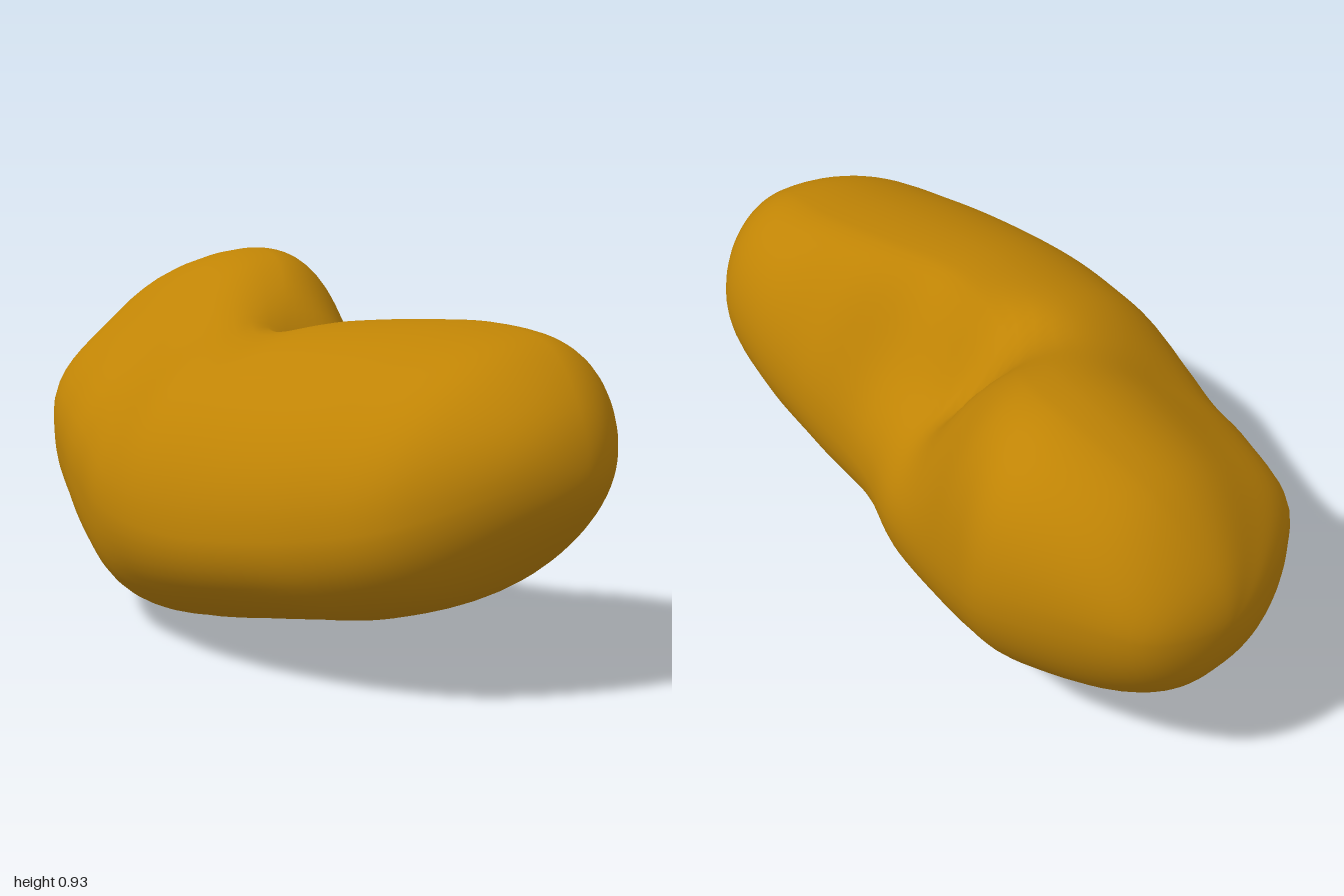
import * as THREE from 'three';
import { mergeVertices } from 'three/addons/utils/BufferGeometryUtils.js';

// Cross-sections from front tip to back tip:
// z, xMin, xMax, yMin, yMax, x of top, y of right side, x of bottom, y of left side, hollow
const SECTIONS = [
  [1, 0, 0, .55, .55, 0, .55, 0, .55, 0],
  [.95, -.2, .15, .42, .7, .02, .57, -.05, .54, 0],
  [.8, -.4, .31, .26, .82, .08, .56, -.12, .46, 0],
  [.6, -.5, .365, .175, .85, .1, .53, -.15, .41, .01],
  [.4, -.555, .355, .13, .845, .05, .45, -.12, .38, .06],
  [.2, -.575, .33, .085, .825, -.02, .35, -.08, .36, .14],
  [0, -.565, .405, .035, .79, -.03, .36, -.02, .36, .13],
  [-.2, -.51, .46, .003, .835, .13, .41, .02, .37, .02],
  [-.4, -.42, .53, .035, .92, .26, .5, .06, .4, -.03],
  [-.58, -.345, .575, .12, .93, .29, .57, .1, .44, -.02],
  [-.8, -.22, .5, .21, .85, .26, .59, .14, .5, 0],
  [-.95, .01, .39, .37, .7, .22, .57, .2, .55, 0],
  [-1, .2, .2, .55, .55, .2, .55, .2, .55, 0],
];
const STEPS = 6, AROUND = 64;

// Mirrors a section through the tip so the ends close as round caps
const beyond = (tip, next) => tip.map((v, k) => (k === 0 ? next[0] : 2 * v - next[k]));

// Smooth blend between neighbouring sections
function sectionAt(rows, i, t) {
  return rows[i].map((_, k) => {
    const [a, b, c, d] = [rows[i - 1][k], rows[i][k], rows[i + 1][k], rows[i + 2][k]];
    return b + .5 * t * (c - a + t * (2 * a - 5 * b + 4 * c - d + t * (3 * (b - c) + d - a)));
  });
}

// A ring made of four quarter ellipses, each pressed inward (or swollen when negative)
function addRing(positions, [z, x0, x1, y0, y1, xTop, yRight, xBottom, yLeft, hollow]) {
  const back = THREE.MathUtils.smoothstep(-z, 0, .45);
  const belly = Math.exp(-(((z - .25) / .3) ** 2));
  const dents = [hollow, .12 * back, -.03 - .07 * back, .03 * back - .06 * belly];
  for (let j = 0; j < AROUND; j++) {
    const angle = j / AROUND * Math.PI * 2;
    const c = Math.cos(angle), s = Math.sin(angle);
    const quarter = Math.floor(j * 4 / AROUND);
    const cx = quarter < 2 ? xTop : xBottom;
    const cy = quarter === 0 || quarter === 3 ? yRight : yLeft;
    const scale = 1 - dents[quarter] * Math.sin(2 * angle) ** 2;
    const x = cx + (c > 0 ? x1 - cx : cx - x0) * c * scale;
    const y = cy + (s > 0 ? y1 - cy : cy - y0) * s * scale;
    // Small pit at the inner bend
    const pit = s > 0 ? .12 * Math.exp(-((x - .14) ** 2 + (z + .06) ** 2) / .016) : 0;
    positions.push(x, y - pit, z);
  }
}

function beanGeometry() {
  const last = SECTIONS.length - 1;
  const rows = [
    beyond(SECTIONS[0], SECTIONS[1]),
    ...SECTIONS,
    beyond(SECTIONS[last], SECTIONS[last - 1]),
  ];
  const positions = [], index = [];
  for (let i = 0; i < last; i++) {
    for (let t = 0; t < STEPS; t++) addRing(positions, sectionAt(rows, i + 1, t / STEPS));
  }
  addRing(positions, SECTIONS[last]);

  for (let i = 0; i < last * STEPS; i++) {
    for (let j = 0; j < AROUND; j++) {
      const a = i * AROUND + j, b = i * AROUND + (j + 1) % AROUND;
      const c = a + AROUND, d = b + AROUND;
      index.push(a, c, b, b, c, d);
    }
  }
  const geometry = new THREE.BufferGeometry();
  geometry.setAttribute('position', new THREE.Float32BufferAttribute(positions, 3));
  geometry.setIndex(index);
  const merged = mergeVertices(geometry, 1e-4);
  merged.computeVertexNormals();
  return merged;
}

export function createModel() {
  const group = new THREE.Group();
  group.name = 'bean';
  const body = new THREE.Mesh(beanGeometry(), new THREE.MeshStandardMaterial({ color: 0xc08405 }));
  body.name = 'beanBody';
  group.add(body);
  return group;
}
